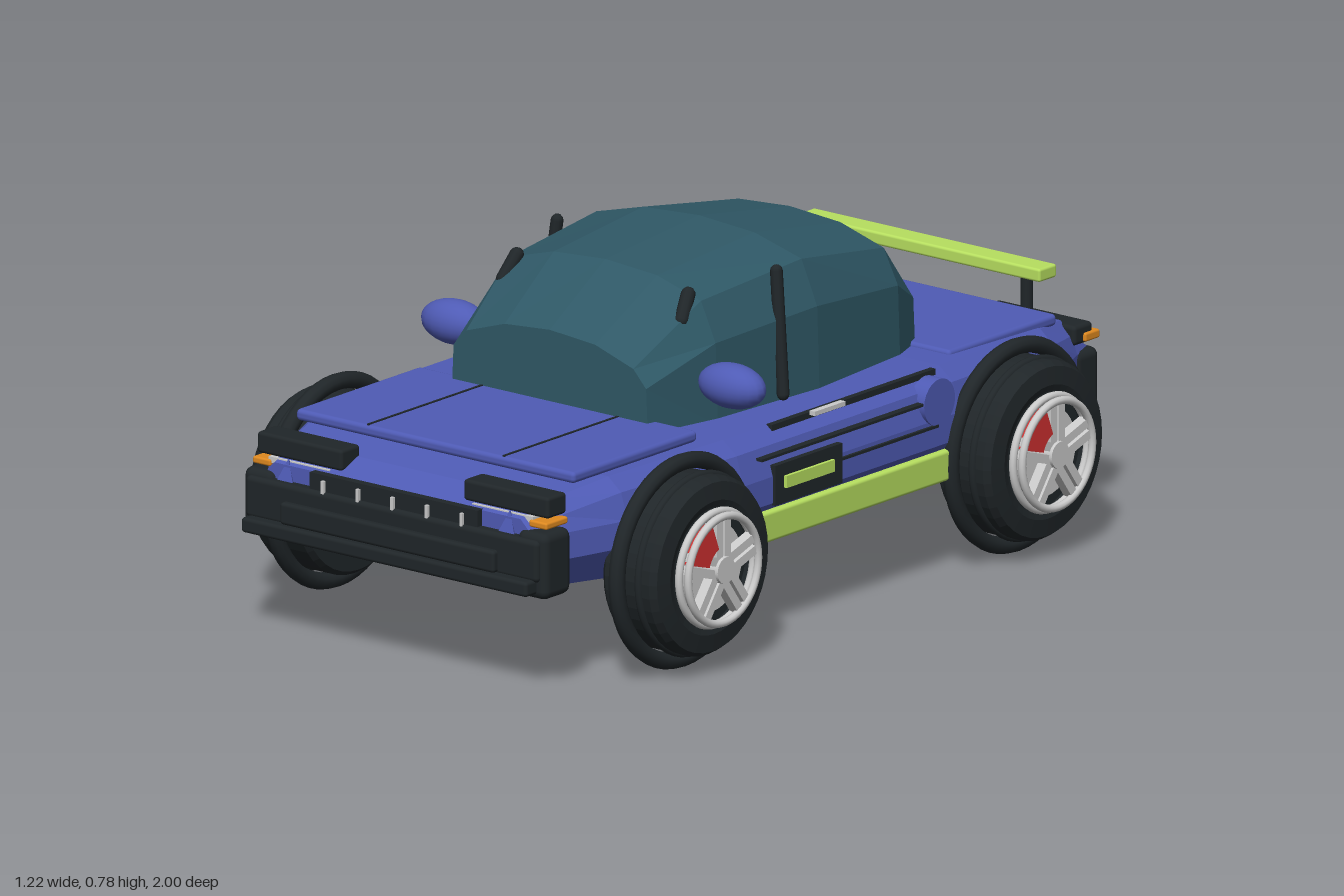
import * as THREE from 'three';
import { RoundedBoxGeometry } from 'three/addons/geometries/RoundedBoxGeometry.js';

const mat = (color, extra = {}) => new THREE.MeshStandardMaterial({ color, ...extra });
const BLUE = mat(0x4f5bb5), BLUE_FLAT = mat(0x4f5bb5, { flatShading: true });
const GLASS = mat(0x2f5866, { flatShading: true });
const DARK = mat(0x202629), GREEN = mat(0xb8e060), RED = mat(0xd03030);
const ORANGE = mat(0xe08a20), GREY = mat(0xcccccc);

function add(parent, name, geo, material, x = 0, y = 0, z = 0) {
  const m = new THREE.Mesh(geo, material);
  m.name = name;
  m.position.set(x, y, z);
  parent.add(m);
  return m;
}

// Box given by its ranges on each axis
function box(parent, name, material, [x0, x1], [y0, y1], [z0, z1], r = 0) {
  const s = [x1 - x0, y1 - y0, z1 - z0];
  const geo = r ? new RoundedBoxGeometry(...s, 2, r) : new THREE.BoxGeometry(...s);
  return add(parent, name, geo, material, (x0 + x1) / 2, (y0 + y1) / 2, (z0 + z1) / 2);
}

// Round bar between two points
function bar(parent, name, material, a, b, r) {
  const p = new THREE.Vector3(...a), q = new THREE.Vector3(...b);
  const m = add(parent, name, new THREE.CapsuleGeometry(r, p.distanceTo(q), 3, 10), material);
  m.position.copy(p).add(q).multiplyScalar(0.5);
  m.quaternion.setFromUnitVectors(new THREE.Vector3(0, 1, 0), q.sub(p).normalize());
  return m;
}

// Skin over mirrored half outlines (bottom centre to top centre), ordered front to back
function loft(sections) {
  const pos = [], index = [];
  const n = sections[0].half.length * 2 - 2;
  for (const { z, half } of sections) {
    const mirrored = half.slice(1, -1).reverse().map(([x, y]) => [-x, y]);
    for (const [x, y] of [...half, ...mirrored]) pos.push(x, y, z);
  }
  const last = (sections.length - 1) * n;
  for (let i = 0; i < last; i += n) {
    for (let j = 0; j < n; j++) {
      const k = (j + 1) % n;
      index.push(i + j, i + n + j, i + k, i + k, i + n + j, i + n + k);
    }
  }
  for (let j = 1; j < n - 1; j++) {
    index.push(0, j, j + 1, last, last + j + 1, last + j);
  }
  const g = new THREE.BufferGeometry();
  g.setAttribute('position', new THREE.Float32BufferAttribute(pos, 3));
  g.setIndex(index);
  g.computeVertexNormals();
  return g;
}

// Wheel for the +x side, axle along x
function makeWheel(z) {
  const wheel = new THREE.Group();
  wheel.name = 'wheel';
  wheel.position.set(0, 0.242, z);
  const turned = (name, geo, material, x = 0) => {
    const m = add(wheel, name, geo, material, x);
    m.rotation.z = -Math.PI / 2;
    return m;
  };
  const profile = [[0, 0.42], [0.19, 0.42], [0.2, 0.432], [0.2, 0.555], [0.19, 0.57],
    [0.15, 0.575], [0.135, 0.57], [0.135, 0.552], [0, 0.552]].map(p => new THREE.Vector2(...p));
  turned('tyre', new THREE.LatheGeometry(profile, 40), mat(0x202629, { flatShading: true }));
  const ring = (name, x, r, t, m) => {
    add(wheel, name, new THREE.TorusGeometry(r, t, 10, 48), m, x).rotation.y = Math.PI / 2;
  };
  ring('wheelArch', 0.484, 0.222, 0.019, DARK);
  ring('tyreRib', 0.525, 0.197, 0.01, DARK);
  ring('rimInner', 0.58, 0.127, 0.009, GREY);
  ring('rimOuter', 0.6, 0.12, 0.009, GREY);
  turned('brakeDisc', new THREE.CylinderGeometry(0.1, 0.1, 0.012, 32), GREY, 0.564);
  turned('hub', new THREE.CylinderGeometry(0.03, 0.034, 0.05, 20), GREY, 0.584);
  for (let i = 0; i < 5; i++) {
    const spoke = new THREE.Group();
    spoke.name = 'spoke';
    spoke.rotation.x = (i * Math.PI * 2) / 5;
    for (const s of [-1, 1]) {
      box(spoke, 'spokeArm', GREY, [0.578, 0.602], [0.015, 0.12], [s * 0.014 - 0.01, s * 0.014 + 0.01]);
    }
    wheel.add(spoke);
  }
  // Brake caliper in the upper front quarter of the rim
  const arc = new THREE.Shape();
  arc.absarc(0, 0, 0.118, 0.3, 1.2, false);
  arc.absarc(0, 0, 0.055, 1.2, 0.3, true);
  const caliper = add(wheel, 'brakeCaliper',
    new THREE.ExtrudeGeometry(arc, { depth: 0.034, bevelEnabled: false, curveSegments: 8 }), RED, 0.605);
  caliper.rotation.y = -Math.PI / 2;
  return wheel;
}

// Everything that is repeated on both sides, for the +x side
function makeSide() {
  const g = new THREE.Group();
  g.add(makeWheel(0.57), makeWheel(-0.573));

  // Sill, side vent, trims and fuel cap
  box(g, 'sideSkirt', GREEN, [0.42, 0.49], [0.215, 0.285], [-0.36, 0.36], 0.008);
  box(g, 'ventFrame', DARK, [0.43, 0.492], [0.295, 0.385], [0.03, 0.26]);
  box(g, 'ventInsert', GREEN, [0.45, 0.5], [0.33, 0.357], [0.065, 0.23]);
  box(g, 'sideTrim', DARK, [0.45, 0.488], [0.402, 0.408], [-0.26, 0.3]);
  box(g, 'lowerTrim', DARK, [0.45, 0.492], [0.345, 0.351], [-0.3, 0.03]);
  box(g, 'shoulderTrim', DARK, [0.427, 0.442], [0.43, 0.457], [-0.35, 0.21]);
  box(g, 'doorHandle', GREY, [0.445, 0.46], [0.452, 0.462], [-0.02, 0.085]);
  add(g, 'fuelCap', new THREE.CylinderGeometry(0.053, 0.053, 0.04, 24), BLUE, 0.47, 0.4, -0.305).rotation.z = Math.PI / 2;

  // Mirror, pillar and roof spike
  const mirror = add(g, 'mirror', new THREE.SphereGeometry(1, 20, 14), BLUE, 0.388, 0.552, 0.28);
  mirror.scale.set(0.087, 0.05, 0.05);
  bar(g, 'doorPillar', DARK, [0.338, 0.47, 0.045], [0.307, 0.74, 0.03], 0.014);
  bar(g, 'windscreenBar', DARK, [0.25, 0.675, 0.285], [0.24, 0.725, 0.25], 0.016);
  box(g, 'hoodSeam', DARK, [0.187, 0.193], [0.46, 0.481], [0.43, 0.82]);

  // Front lamps
  box(g, 'headlightPod', DARK, [0.17, 0.408], [0.402, 0.45], [0.87, 0.935], 0.008);
  box(g, 'lightStrip', GREY, [0.2, 0.37], [0.388, 0.402], [0.88, 0.94]);
  box(g, 'frontIndicator', ORANGE, [0.362, 0.412], [0.38, 0.396], [0.87, 0.945], 0.005);
  const fin = add(g, 'noseFin', new THREE.ConeGeometry(0.028, 0.055, 3), BLUE_FLAT, 0.31, 0.382, 0.945);
  fin.rotation.y = Math.PI;
  box(g, 'frontBumperEnd', DARK, [0.34, 0.425], [0.225, 0.375], [0.87, 0.965], 0.02);

  // Rear lamps, bumper end, exhaust and spoiler post
  box(g, 'tailLight', RED, [0.15, 0.37], [0.392, 0.416], [-0.955, -0.92], 0.008);
  box(g, 'rearIndicator', ORANGE, [0.365, 0.412], [0.385, 0.405], [-0.95, -0.9], 0.005);
  box(g, 'tailLightHousing', DARK, [0.14, 0.405], [0.38, 0.425], [-0.935, -0.87], 0.01);
  box(g, 'rearBumperEnd', DARK, [0.3, 0.41], [0.225, 0.365], [-0.955, -0.87], 0.02);
  add(g, 'exhaust', new THREE.CylinderGeometry(0.034, 0.034, 0.09, 20), GREY, 0.23, 0.27, -0.955).rotation.x = Math.PI / 2;
  add(g, 'spoilerPost', new THREE.CylinderGeometry(0.014, 0.014, 0.1, 12), DARK, 0.28, 0.48, -0.86);
  return g;
}

export function createModel() {
  const car = new THREE.Group();
  car.name = 'car';

  // Body: [z, half width, bottom, top]
  const body = [[0.95, 0.39, 0.235, 0.395], [0.88, 0.41, 0.215, 0.425], [0.72, 0.455, 0.207, 0.45],
    [0.36, 0.485, 0.207, 0.455], [-0.38, 0.485, 0.207, 0.455], [-0.76, 0.455, 0.207, 0.445],
    [-0.88, 0.405, 0.215, 0.43], [-0.945, 0.385, 0.235, 0.39]];
  add(car, 'body', loft(body.map(([z, w, b, t]) => ({
    z, half: [[0, b], [w * 0.55, b], [w * 0.9, b + 0.017], [w, 0.3], [w, 0.36], [w * 0.96, t - 0.03], [w * 0.88, t], [0, t]],
  }))), BLUE_FLAT);

  // Cabin: [z, half width at base, roof height]
  const cabin = [[0.43, 0.275, 0.64], [0.24, 0.315, 0.757], [-0.08, 0.338, 0.783],
    [-0.39, 0.31, 0.733], [-0.49, 0.27, 0.635]];
  add(car, 'cabin', loft(cabin.map(([z, w, t]) => ({
    z, half: [[0, 0.44], [w, 0.44], [w * 0.98, 0.44 + (t - 0.44) * 0.58], [w * 0.85, t - 0.045], [w * 0.46, t - 0.01], [0, t]],
  }))), GLASS);

  // Lids
  box(car, 'hood', BLUE, [-0.39, 0.39], [0.453, 0.479], [0.4, 0.825], 0.01);
  box(car, 'rearDeck', BLUE, [-0.39, 0.39], [0.435, 0.462], [-0.83, -0.46], 0.01);

  // Front bumper and grille
  box(car, 'frontBumper', DARK, [-0.41, 0.41], [0.265, 0.36], [0.9, 0.975], 0.012);
  box(car, 'frontLip', DARK, [-0.4, 0.4], [0.238, 0.272], [0.9, 1], 0.008);
  box(car, 'bumperPlate', DARK, [-0.3, 0.3], [0.272, 0.322], [0.95, 0.99], 0.008);
  box(car, 'grille', DARK, [-0.235, 0.235], [0.335, 0.397], [0.9, 0.965]);
  for (let i = -2; i <= 2; i++) {
    box(car, 'grilleBar', GREY, [i * 0.097 - 0.004, i * 0.097 + 0.004], [0.335, 0.385], [0.95, 0.972]);
  }

  // Rear bumper, plate recess and spoiler
  box(car, 'rearBumper', DARK, [-0.36, 0.36], [0.235, 0.3], [-0.985, -0.9], 0.01);
  box(car, 'rearPanel', DARK, [-0.15, 0.15], [0.29, 0.385], [-0.955, -0.92]);
  box(car, 'spoiler', GREEN, [-0.34, 0.34], [0.522, 0.552], [-0.89, -0.83], 0.006);

  const left = makeSide();
  left.name = 'leftSide';
  const right = makeSide();
  right.name = 'rightSide';
  right.scale.x = -1;
  car.add(left, right);
  return car;
}
